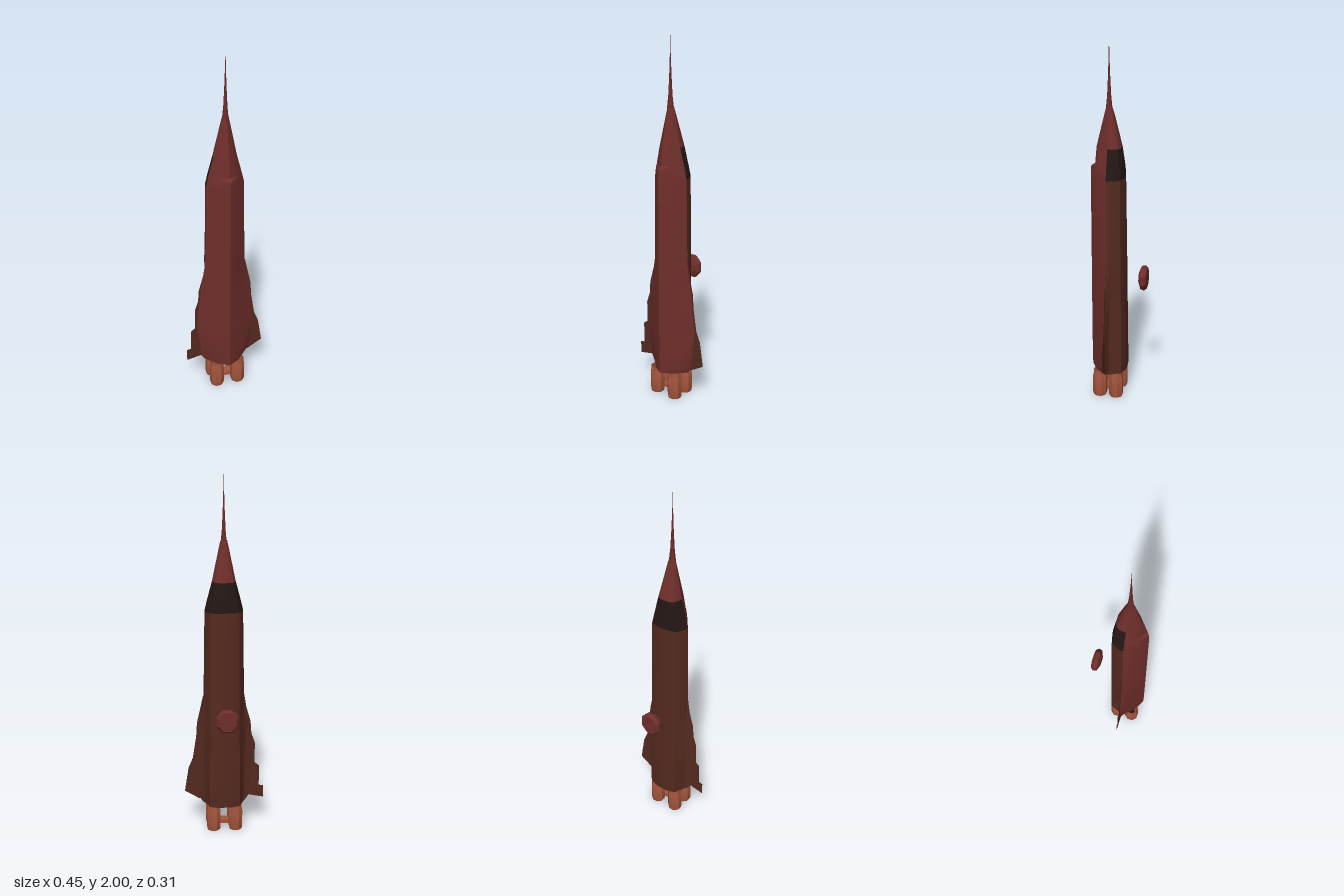
import * as THREE from 'three';
import { toCreasedNormals } from 'three/addons/utils/BufferGeometryUtils.js';

const paint = (color) => new THREE.MeshStandardMaterial({ color, side: THREE.DoubleSide });
const RED = paint(0x6e2e2b), BROWN = paint(0x8a4733), DARK = paint(0x241714),
  MID = paint(0x54291f), RUST = paint(0xa3553c);
const MID_Z = 0.05;

// Hull stations: y, keel z, front chine x/z, edge x, flank x/z, corner x/z, back x/z
const STATIONS = [
  [0.15, 0.15, 0.06, 0.118, 0.12, 0.108, 0.03, 0.085, -0.028, 0.035, -0.044],
  [0.18, 0.154, 0.06, 0.12, 0.14, 0.11, 0.035, 0.085, -0.03, 0.035, -0.046],
  [0.40, 0.155, 0.065, 0.115, 0.165, 0.113, 0.035, 0.083, -0.028, 0.034, -0.043],
  [0.63, 0.155, 0.065, 0.112, 0.14, 0.11, 0.03, 0.08, -0.026, 0.033, -0.04],
  [0.80, 0.155, 0.062, 0.112, 0.112, 0.106, 0.02, 0.08, -0.024, 0.032, -0.038],
  [1.27, 0.155, 0.055, 0.115, 0.104, 0.1, 0.02, 0.076, -0.02, 0.03, -0.031],
  [1.325, 0.152, 0.05, 0.112, 0.091, 0.087, 0.02, 0.066, -0.016, 0.028, -0.028],
  [1.34, 0.13, 0.048, 0.108, 0.087, 0.083, 0.02, 0.063, -0.014, 0.027, -0.026],
  [1.43, 0.122, 0.036, 0.1, 0.063, 0.06, 0.024, 0.047, -0.004, 0.022, -0.014],
  [1.60, 0.08, 0.014, 0.072, 0.028, 0.026, 0.042, 0.02, 0.032, 0.01, 0.025],
  [1.645, 0.068, 0.008, 0.064, 0.018, 0.016, 0.048, 0.012, 0.042, 0.006, 0.039],
];

const frontArc = ([, zf, fx, fz, t]) =>
  [[-t, MID_Z], [-fx, fz], [0, zf], [fx, fz], [t, MID_Z]];
const backArc = ([, , , , t, sx, sz, cx, cz, bx, bz]) =>
  [[t, MID_Z], [sx, sz], [cx, cz], [bx, bz], [-bx, bz], [-cx, cz], [-sx, sz], [-t, MID_Z]];

// Skin stretched over the same arc at successive stations
function skin(stations, arc) {
  const pos = [], idx = [];
  const n = arc(stations[0]).length;
  stations.forEach((s, i) => arc(s).forEach(([x, z], k) => {
    pos.push(x, s[0], z);
    if (i && k) {
      const b = i * n + k, a = b - 1;
      idx.push(a - n, b - n, b, a - n, b, a);
    }
  }));
  const g = new THREE.BufferGeometry();
  g.setAttribute('position', new THREE.Float32BufferAttribute(pos, 3));
  g.setIndex(idx);
  return toCreasedNormals(g, 0.6);
}

const shapeOf = (pts) => new THREE.Shape(pts.map(([x, y]) => new THREE.Vector2(x, y)));

export function createModel() {
  const model = new THREE.Group();
  model.name = 'rocketPlane';
  const add = (name, geometry, material, parent = model) => {
    const mesh = new THREE.Mesh(geometry, material);
    mesh.name = name;
    parent.add(mesh);
    return mesh;
  };

  // Fuselage
  add('hullFront', skin(STATIONS.slice(0, 8), frontArc), RED);
  add('noseFront', skin(STATIONS.slice(7), frontArc), RED);
  add('hullBack', skin(STATIONS.slice(0, 6), backArc), MID);
  add('shoulderBack', skin(STATIONS.slice(5, 9), backArc), DARK);
  add('noseBack', skin(STATIONS.slice(8), backArc), RED);

  // Tail bulkhead
  const ring = [...frontArc(STATIONS[0]), ...backArc(STATIONS[0]).slice(1, -1)];
  const bulkhead = add('tailBulkhead', new THREE.ShapeGeometry(shapeOf(ring)), BROWN);
  bulkhead.rotation.x = Math.PI / 2;
  bulkhead.position.y = 0.15;

  // Nose spike
  const spike = [[0.018, 1.63], [0.011, 1.7], [0.006, 1.8], [0.0025, 1.9], [0, 2]];
  add('noseSpike', new THREE.LatheGeometry(spike.map(([r, y]) => new THREE.Vector2(r, y)), 6), RED)
    .position.z = 0.053;

  // Thin stepped wings, each with its own ragged tip
  const leftWing = [[0.08, 0.8], [0.115, 0.79], [0.13, 0.72], [0.15, 0.63], [0.155, 0.55],
    [0.175, 0.42], [0.2, 0.36], [0.222, 0.22], [0.14, 0.17], [0.08, 0.17]];
  const rightWing = [[-0.08, 0.8], [-0.11, 0.79], [-0.125, 0.72], [-0.15, 0.63], [-0.155, 0.56],
    [-0.175, 0.5], [-0.175, 0.38], [-0.2, 0.36], [-0.2, 0.24], [-0.225, 0.235],
    [-0.225, 0.165], [-0.13, 0.185], [-0.08, 0.17]];
  for (const [name, outline] of [['leftWing', leftWing], ['rightWing', rightWing]]) {
    const g = new THREE.ExtrudeGeometry(shapeOf(outline), { depth: 0.002, bevelEnabled: false });
    add(name, g, MID).position.z = MID_Z - 0.001;
  }

  // Four open engine bells
  const engines = new THREE.Group();
  engines.name = 'engines';
  model.add(engines);
  const bell = new THREE.LatheGeometry([[0.02, 0.09], [0.03, 0.005], [0.037, 0], [0.041, 0.015],
    [0.041, 0.115], [0.036, 0.135], [0.036, 0.155]].map(([r, y]) => new THREE.Vector2(r, y)), 8, Math.PI / 8);
  const bellGeometry = toCreasedNormals(bell, 0.5);
  for (const x of [-0.062, 0.062]) for (const z of [0.005, 0.097]) {
    add('engineBell', bellGeometry, RUST, engines).position.set(x, 0, z);
    add('bellCore', new THREE.CylinderGeometry(0.02, 0.02, 0.01, 8), DARK, engines).position.set(x, 0.09, z);
  }
  add('engineBrace', new THREE.BoxGeometry(0.08, 0.022, 0.05), RUST, engines).position.set(0, 0.03, 0.05);

  // Detached faceted pod behind the hull
  const podProfile = [[0, -0.157], [0.054, -0.157], [0.065, -0.143], [0.06, -0.123], [0.032, -0.112], [0, -0.112]];
  const podGeometry = new THREE.LatheGeometry(podProfile.map(([r, y]) => new THREE.Vector2(r, y)), 8, Math.PI / 8);
  podGeometry.rotateX(Math.PI / 2);
  const pod = add('pod', toCreasedNormals(podGeometry, 0.3), RED);
  pod.position.set(-0.003, 0.705, 0);
  pod.scale.y = 1.08;

  return model;
}
